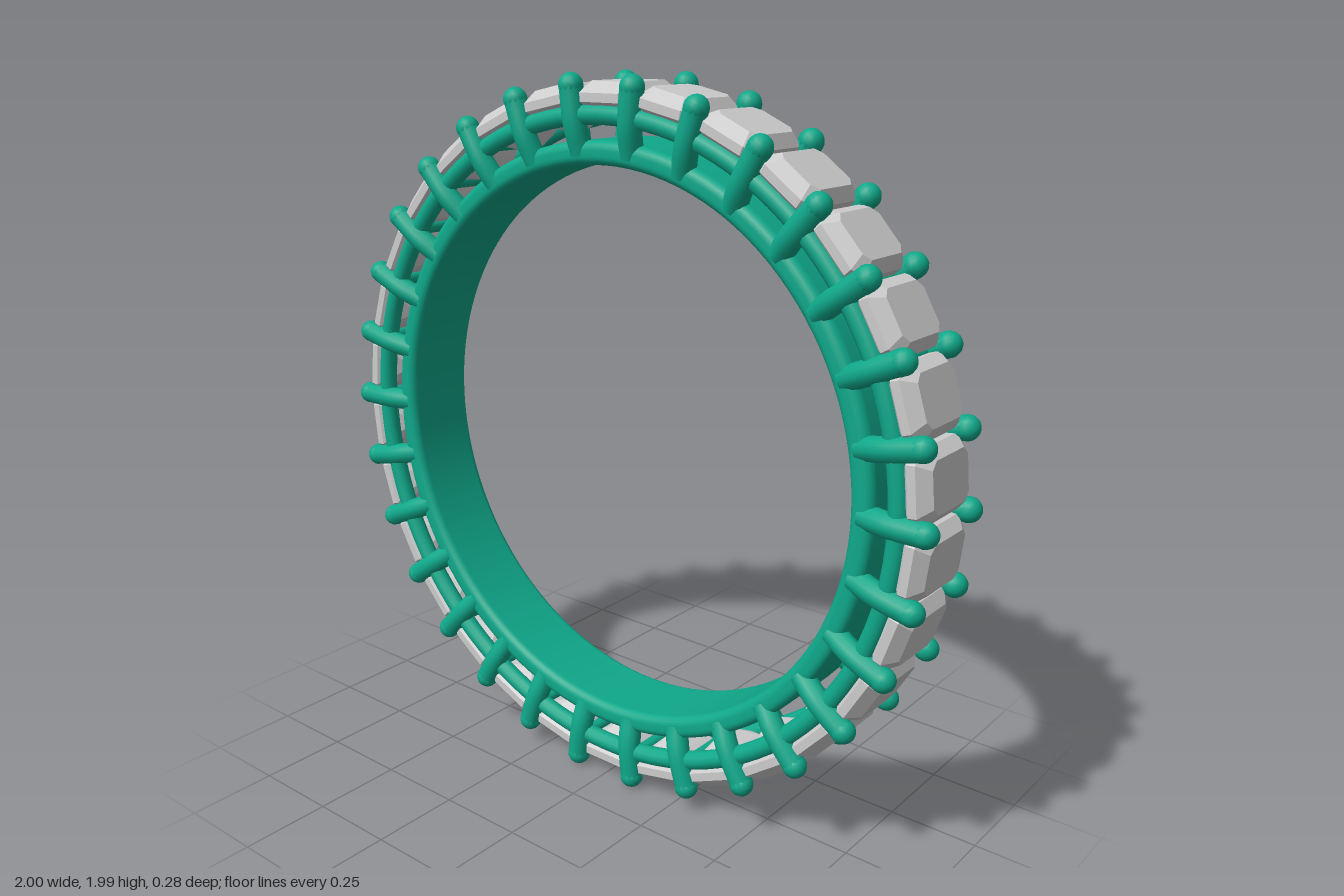
import * as THREE from 'three';

const COUNT = 30;
const STEP = (Math.PI * 2) / COUNT;
const metal = new THREE.MeshStandardMaterial({ color: 0x0fa88a });
const gem = new THREE.MeshStandardMaterial({ color: 0xcccccc, flatShading: true });

function add(parent, name, geometry, material) {
  const mesh = new THREE.Mesh(geometry, material);
  mesh.name = name;
  parent.add(mesh);
  return mesh;
}

// Inner band: a rounded rectangle turned about the ring axis
function bandGeometry(inner, outer, half, round) {
  const points = [];
  const corners = [[outer, half, 0], [inner, half, 1], [inner, -half, 2], [outer, -half, 3]];
  for (const [r, z, quarter] of corners) {
    const cr = r - Math.sign(r - (inner + outer) / 2) * round;
    const cz = z - Math.sign(z) * round;
    for (let i = 0; i <= 5; i++) {
      const a = (quarter + i / 5) * Math.PI / 2;
      points.push(new THREE.Vector2(cr + Math.cos(a) * round, cz + Math.sin(a) * round));
    }
  }
  points.push(points[0].clone());
  return new THREE.LatheGeometry(points, 120).rotateX(Math.PI / 2);
}

// Step-cut stone: octagonal sections [radial height, half width, half depth, corner cut]
function stoneGeometry() {
  const rings = [
    [0.855, 0.004, 0.035, 0.002],
    [0.89, 0.055, 0.085, 0.018],
    [0.922, 0.093, 0.12, 0.03],
    [0.945, 0.093, 0.12, 0.03],
    [0.973, 0.066, 0.088, 0.02],
  ].map(([y, w, d, c]) => [
    [w, -d + c], [w, d - c], [w - c, d], [-w + c, d],
    [-w, d - c], [-w, -d + c], [-w + c, -d], [w - c, -d],
  ].map(([x, z]) => [x, y, z]));
  const out = [];
  for (let k = 0; k + 1 < rings.length; k++) {
    for (let i = 0; i < 8; i++) {
      const j = (i + 1) % 8;
      const a = rings[k][i], b = rings[k][j], A = rings[k + 1][i], B = rings[k + 1][j];
      out.push(...a, ...A, ...b, ...b, ...A, ...B);
    }
  }
  // Flat table on top, small ridge underneath
  const top = rings[rings.length - 1], bottom = rings[0];
  for (let i = 1; i < 7; i++) {
    out.push(...top[0], ...top[i + 1], ...top[i]);
    out.push(...bottom[0], ...bottom[i], ...bottom[i + 1]);
  }
  const geometry = new THREE.BufferGeometry();
  geometry.setAttribute('position', new THREE.Float32BufferAttribute(out, 3));
  geometry.computeVertexNormals();
  return geometry;
}

export function createModel() {
  const model = new THREE.Group();
  model.name = 'ring';
  const ring = new THREE.Group();
  ring.name = 'stoneRing';
  ring.position.y = 0.995;
  model.add(ring);

  add(ring, 'innerBand', bandGeometry(0.765, 0.828, 0.115, 0.024), metal);

  // Outer rails carrying the stones
  const rail = new THREE.TorusGeometry(0.892, 0.026, 12, 120);
  for (const side of [1, -1]) add(ring, 'outerRail', rail, metal).position.z = side * 0.1;

  // Prongs rise from the band, with ball tips holding the stone edges
  const prongs = [1, -1].map((side) => new THREE.TubeGeometry(
    new THREE.CatmullRomCurve3([
      new THREE.Vector3(0, 0.795, side * 0.088),
      new THREE.Vector3(0, 0.87, side * 0.107),
      new THREE.Vector3(0, 0.967, side * 0.11),
    ]), 10, 0.032, 12));
  const tip = new THREE.SphereGeometry(0.033, 14, 10);
  const bar = new THREE.CylinderGeometry(0.018, 0.018, 0.2, 10).rotateX(Math.PI / 2);
  const stone = stoneGeometry();

  for (let i = 0; i < COUNT; i++) {
    const post = new THREE.Group();
    post.name = 'prongPair';
    post.rotation.z = i * STEP - Math.PI / 2;
    ring.add(post);
    [1, -1].forEach((side, k) => {
      add(post, 'prong', prongs[k], metal);
      add(post, 'prongTip', tip, metal).position.set(0, 0.967, side * 0.11);
    });
    add(post, 'crossBar', bar, metal).position.y = 0.91;

    add(ring, 'stone', stone, gem).rotation.z = (i + 0.5) * STEP - Math.PI / 2;
  }
  return model;
}
